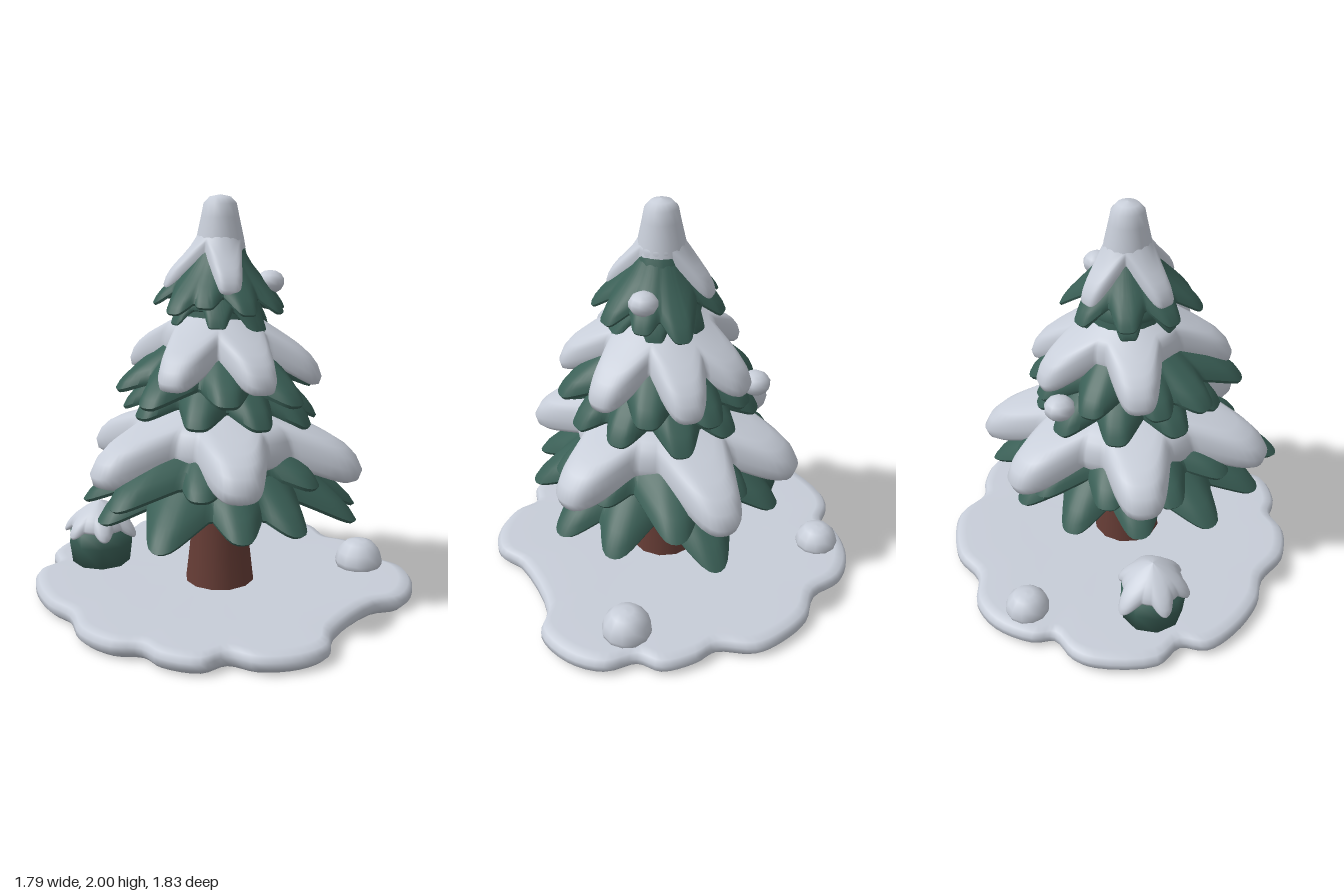
import * as THREE from 'three';
import { toCreasedNormals } from 'three/addons/utils/BufferGeometryUtils.js';

const mat = (name, color) => {
  const m = new THREE.MeshStandardMaterial({ color });
  m.name = name;
  return m;
};

// Skin a closed surface of rings; point(i, a) gives ring i at angle a
function loft(rings, sides, point) {
  const pos = [], idx = [];
  for (let i = 0; i < rings; i++)
    for (let j = 0; j < sides; j++) pos.push(...point(i, (j / sides) * Math.PI * 2));
  for (let i = 0; i < rings - 1; i++)
    for (let j = 0; j < sides; j++) {
      const k = (j + 1) % sides;
      const a = i * sides + j, b = i * sides + k, c = a + sides, d = b + sides;
      idx.push(a, b, c, b, d, c);
    }
  const g = new THREE.BufferGeometry();
  g.setAttribute('position', new THREE.Float32BufferAttribute(pos, 3));
  g.setIndex(idx);
  g.computeVertexNormals();
  return g;
}

// Layer edge profile: [fraction of radius, drop in thicknesses]
const EDGE = [[0, 0], [0.25, 0], [0.5, 0], [0.7, 0], [0.84, -0.08], [0.94, -0.25], [1, -0.55],
  [0.97, -0.85], [0.9, -1], [0.5, -1], [0, -0.8]];
const UNDERSIDE = 9; // first ring of the flat underside

// Drooping star-shaped layer; arms are [angle in degrees, length]
function starLayer({ yTop, rTop, yTip, rTip, valley, half, taper, round, thick, ridge, p = 1, arms }) {
  const reach = (a) => {
    let best = valley;
    for (const [deg, len] of arms) {
      let d = Math.abs(a - THREE.MathUtils.degToRad(deg)) % (Math.PI * 2);
      if (d > Math.PI) d = Math.PI * 2 - d;
      if (d > 1.4) continue;
      const flank = (half + taper * len) / (Math.sin(d) + taper * Math.cos(d));
      const end = len / Math.cos(d);
      best = Math.max(best, (flank ** -round + end ** -round) ** (-1 / round));
    }
    return best;
  };
  return loft(EDGE.length, 180, (i, a) => {
    const [s, drop] = EDGE[i];
    const R = reach(a);
    const r = i === EDGE.length - 1 ? rTop * 0.5 : rTop + (R - rTop) * s;
    const slopeR = i >= UNDERSIDE ? Math.max(r, valley) : r;
    const u = Math.max(0, (slopeR - rTop) / (rTip - rTop));
    const crease = ridge * s * Math.max(0, 1 - (R - valley) / (rTip - valley));
    return [r * Math.cos(a), yTop - (yTop - yTip) * u ** p + drop * thick - crease, r * Math.sin(a)];
  });
}

const GREEN = { half: 0.05, taper: 0.45, round: 24, thick: 0.07, ridge: 0.06 };
const SNOW = { half: 0.1, taper: 0.22, round: 9, thick: 0.17, ridge: 0.0 };

export function createModel() {
  const model = new THREE.Group();
  model.name = 'snowyTree';
  const snow = mat('snow', 0xc7cdd8);
  const green = mat('needles', 0x3a5f56);
  const bark = mat('bark', 0x653c35);

  const add = (name, geo, material, x = 0, y = 0, z = 0, parent = model) => {
    const m = new THREE.Mesh(geo, material);
    m.name = name;
    m.position.set(x, y, z);
    parent.add(m);
    return m;
  };
  const lathe = (pts, n) => new THREE.LatheGeometry(pts.map(([x, y]) => new THREE.Vector2(x, y)), n);

  // Snowy ground with a wavy outline
  const outline = new THREE.CatmullRomCurve3([
    [0.89, -0.05], [0.81, 0.12], [0.84, 0.24], [0.83, 0.41], [0.74, 0.5], [0.73, 0.66], [0.61, 0.8],
    [0.41, 0.87], [0.27, 0.8], [-0.11, 0.83], [-0.26, 0.91], [-0.41, 0.88], [-0.55, 0.76], [-0.6, 0.62],
    [-0.73, 0.58], [-0.81, 0.41], [-0.8, 0.29], [-0.88, 0.17], [-0.89, -0.02], [-0.8, -0.2],
    [-0.79, -0.37], [-0.7, -0.58], [-0.58, -0.71], [-0.45, -0.72], [-0.36, -0.85], [-0.07, -0.92],
    [0.05, -0.89], [0.16, -0.8], [0.27, -0.83], [0.47, -0.78], [0.6, -0.66], [0.65, -0.49],
    [0.79, -0.37], [0.87, -0.2],
  ].map(([x, z]) => new THREE.Vector3(x, 0, z)), true, 'centripetal');
  const slab = [[0, 0.09], [0.6, 0.09], [0.93, 0.095], [0.98, 0.085], [1, 0.06], [1, 0.03], [0.97, 0.003],
    [0, 0]];
  add('ground', loft(slab.length, 136, (i, a) => {
    const q = outline.getPoint(a / (Math.PI * 2));
    return [q.x * slab[i][0], slab[i][1], q.z * slab[i][0]];
  }), snow);

  // Snow mounds on the ground
  const mound = (x, z, r, h) => add('snowMound', lathe([[0, 0], [r * 0.95, 0], [r, h * 0.25],
    [r * 0.9, h * 0.6], [r * 0.6, h * 0.9], [r * 0.3, h * 0.98], [0, h]], 12), snow, x, 0.08, z);
  mound(0.33, -0.67, 0.11, 0.12);
  mound(0.58, 0.49, 0.122, 0.145);

  // Small bush with a snow cap
  const bush = new THREE.Group();
  bush.name = 'bush';
  bush.position.set(-0.28, 0, -0.56);
  model.add(bush);
  add('bushLeaves', lathe([[0, 0.08], [0.15, 0.08], [0.165, 0.2], [0.16, 0.27], [0.05, 0.36]], 9), green, 0, 0, 0, bush);
  add('bushSnow', starLayer({ ...SNOW, yTop: 0.42, rTop: 0.001, yTip: 0.28, rTip: 0.2, valley: 0.15,
    half: 0.03, taper: 0.4, thick: 0.06, p: 1.4,
    arms: [[10, 0.18], [65, 0.2], [125, 0.19], [185, 0.19], [240, 0.2], [305, 0.22]] }), snow, 0, 0, 0, bush);

  // Tree: trunk, inner core and three tiers
  const tree = new THREE.Group();
  tree.name = 'tree';
  tree.position.set(-0.03, 0, 0.06);
  model.add(tree);
  add('trunk', lathe([[0.175, 0.08], [0.155, 0.25], [0.135, 0.5], [0.12, 0.95]], 12), bark, 0, 0, 0, tree);
  add('core', lathe([[0.1, 0.72], [0.22, 0.8], [0.27, 0.9], [0.22, 1.0], [0.2, 1.15], [0.2, 1.35],
    [0.18, 1.45], [0.15, 1.62], [0.112, 1.78], [0.06, 1.8]], 20), green, 0, 0, 0, tree);

  const layer = (name, material, style, opts) => {
    let g = starLayer({ ...style, ...opts });
    const y = opts.yTop;
    g.translate(0, -y, 0);
    if (style === GREEN) g = toCreasedNormals(g, 0.6);
    add(name, g, material, 0, y, 0, tree).rotation.z = -0.05;
  };

  // Bottom tier
  layer('lowerNeedles', green, GREEN, { yTop: 0.93, rTop: 0.2, yTip: 0.51, rTip: 0.74, valley: 0.46, p: 0.9,
    arms: [[1, 0.76], [41, 0.7], [66, 0.7], [103, 0.66], [128, 0.67], [158, 0.75], [190, 0.68],
      [222, 0.66], [255, 0.62], [287, 0.63], [320, 0.64]] });
  layer('lowerNeedlesUpper', green, GREEN, { yTop: 0.95, rTop: 0.2, yTip: 0.67, rTip: 0.72, valley: 0.42,
    arms: [[16, 0.72], [52, 0.58], [85, 0.57], [146, 0.6], [176, 0.75], [205, 0.58], [238, 0.6],
      [270, 0.58], [305, 0.62], [340, 0.58]] });
  layer('lowerSnow', snow, SNOW, { yTop: 1.0, rTop: 0.2, yTip: 0.82, rTip: 0.72, valley: 0.43,
    arms: [[-2, 0.77], [62, 0.71], [129, 0.69], [189, 0.72], [253, 0.68], [313, 0.71]] });

  // Middle tier
  layer('middleNeedles', green, GREEN, { yTop: 1.3, rTop: 0.17, yTip: 1.01, rTip: 0.47, valley: 0.31, p: 0.9,
    arms: [[10, 0.5], [48, 0.48], [78, 0.49], [112, 0.47], [150, 0.47], [190, 0.46], [228, 0.46],
      [268, 0.46], [305, 0.48], [338, 0.47]] });
  layer('middleNeedlesUpper', green, GREEN, { yTop: 1.36, rTop: 0.17, yTip: 1.11, rTip: 0.53, valley: 0.3,
    arms: [[-8, 0.5], [30, 0.48], [93, 0.52], [133, 0.5], [174, 0.55], [212, 0.5], [240, 0.46],
      [285, 0.45], [325, 0.48]] });
  layer('middleSnow', snow, SNOW, { yTop: 1.44, rTop: 0.17, yTip: 1.25, rTip: 0.48, valley: 0.27,
    half: 0.08, thick: 0.13,
    arms: [[6, 0.51], [58, 0.5], [113, 0.5], [164, 0.5], [253, 0.47], [324, 0.48]] });

  // Top tier
  layer('upperNeedlesLower', green, GREEN, { yTop: 1.58, rTop: 0.14, yTip: 1.39, rTip: 0.26, valley: 0.19,
    half: 0.04, thick: 0.04, ridge: 0.0,
    arms: [[30, 0.24], [88, 0.28], [140, 0.24], [200, 0.24], [260, 0.23], [330, 0.23]] });
  layer('upperNeedles', green, GREEN, { yTop: 1.77, rTop: 0.1, yTip: 1.5, rTip: 0.33, valley: 0.18, p: 0.8,
    half: 0.04, thick: 0.05, ridge: 0.02,
    arms: [[4, 0.35], [38, 0.32], [74, 0.33], [112, 0.33], [150, 0.3], [176, 0.34], [218, 0.31],
      [262, 0.3], [310, 0.31]] });
  layer('upperSnow', snow, SNOW, { yTop: 1.82, rTop: 0.1, yTip: 1.63, rTip: 0.25, valley: 0.12,
    half: 0.055, taper: 0.18, thick: 0.08, p: 0.8,
    arms: [[125, 0.26], [218, 0.26], [312, 0.26]] });
  add('snowPeak', lathe([[0.12, 1.755], [0.112, 1.8], [0.09, 1.9], [0.078, 1.96], [0.05, 1.99], [0, 2]], 16),
    snow, 0, 0, 0, tree);

  // Loose snow clumps on the branches
  const clump = (x, y, z, r) => add('snowClump', new THREE.SphereGeometry(r, 10, 7), snow, x, y, z).scale.set(1, 0.8, 1);
  clump(0.15, 1.59, 0.22, 0.07);
  clump(0.22, 1.1, -0.32, 0.075);

  return model;
}
